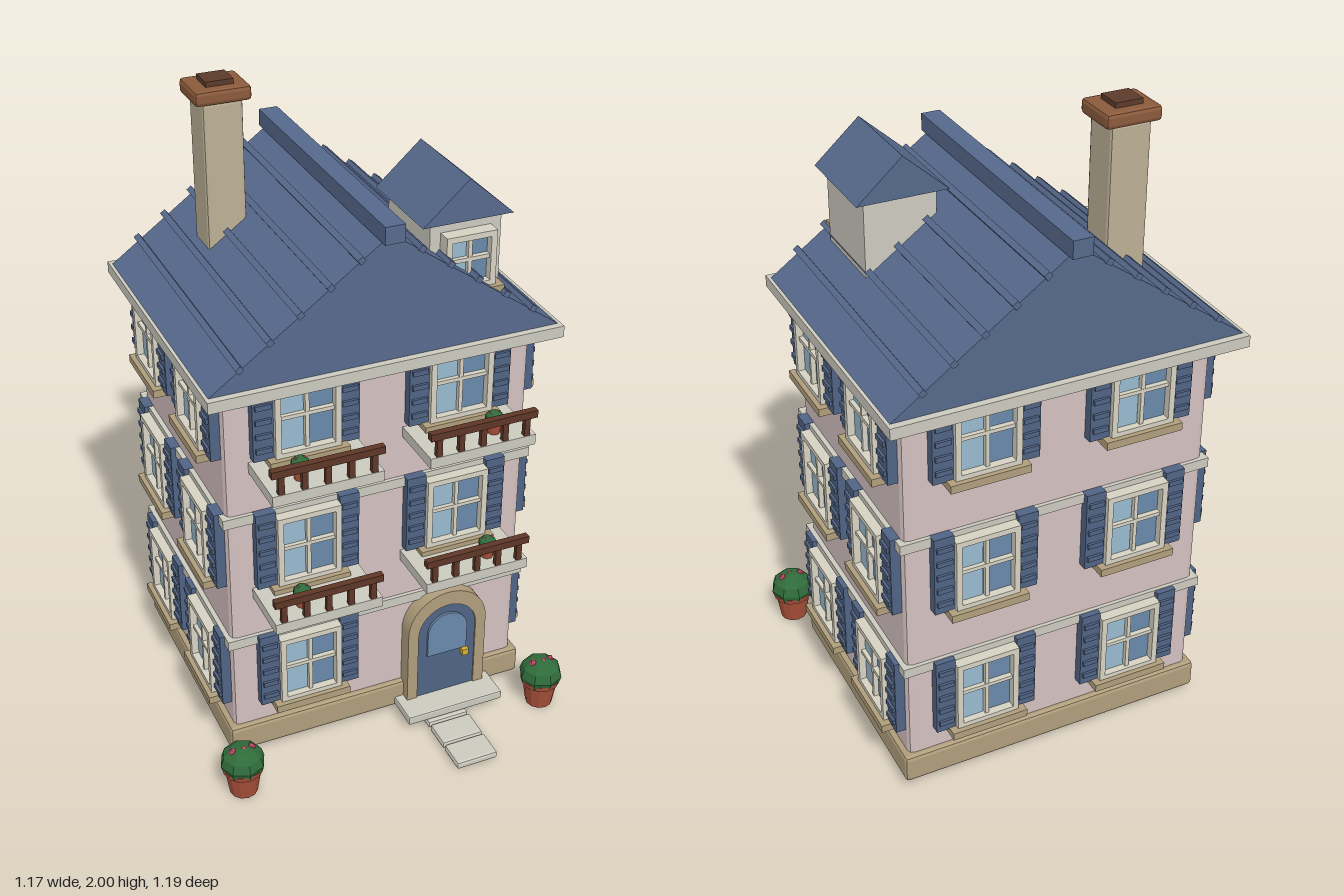
import * as THREE from 'three';
import { RoundedBoxGeometry } from 'three/addons/geometries/RoundedBoxGeometry.js';

const mats = {};
const mat = (color) => (mats[color] ??= new THREE.MeshStandardMaterial({ color, flatShading: true }));
const WALL = 0xd4c0c0, STONE = 0xb09e7c, TRIM = 0xcccabf, ROOF = 0x56698c, SHUTTER = 0x506384,
  FRAME = 0xd6d2c2, GLASS = 0x6889ab, SHINE = 0x98bad0, BRICK = 0x8b5a3c, RAIL = 0x5e3626,
  CLAY = 0xa85038, LEAF = 0x2f6b3a, FLOWER = 0xd05070, CHIMNEY = 0xbcb096;

function add(parent, name, geometry, color, x = 0, y = 0, z = 0) {
  const m = new THREE.Mesh(geometry, mat(color));
  m.name = name;
  m.position.set(x, y, z);
  parent.add(m);
  return m;
}

// Box given by its extents along each axis; bevel chamfers the edges
function box(parent, name, color, x0, x1, y0, y1, z0, z1, bevel = 0) {
  const s = [x1 - x0, y1 - y0, z1 - z0];
  const g = bevel ? new RoundedBoxGeometry(...s, 1, bevel) : new THREE.BoxGeometry(...s);
  return add(parent, name, g, color, (x0 + x1) / 2, (y0 + y1) / 2, (z0 + z1) / 2);
}

function extrude(shape, depth) {
  return new THREE.ExtrudeGeometry(shape, { depth, bevelEnabled: false, curveSegments: 16 });
}

// Gable prism running along z
function gable(parent, name, cx, half, y0, y1, z0, z1) {
  const s = new THREE.Shape([[-half, y0], [half, y0], [0, y1]].map((p) => new THREE.Vector2(...p)));
  return add(parent, name, extrude(s, z1 - z0), ROOF, cx, 0, z0);
}

// Round-topped outline standing on y = 0
function archShape(half, spring) {
  const s = new THREE.Shape();
  s.moveTo(-half, 0);
  s.lineTo(half, 0);
  s.lineTo(half, spring);
  s.absarc(0, spring, half, 0, Math.PI, false);
  s.lineTo(-half, 0);
  return s;
}

// Window facing +z, standing on its sill at y = 0
function makeWindow(half, height, shutters) {
  const w = new THREE.Group();
  w.name = 'window';
  const t = 0.018;
  box(w, 'glass', GLASS, -half + t, half - t, t, height - t, 0, 0.02);
  box(w, 'glassHighlight', SHINE, -half + t, -0.008, t, height - t, 0.02, 0.023);
  for (const s of [-1, 1]) {
    const x = s * (half - t / 2);
    box(w, 'frameSide', FRAME, x - t / 2, x + t / 2, 0, height, 0, 0.045);
  }
  box(w, 'frameBottom', FRAME, -half + t, half - t, 0, t, 0, 0.045);
  box(w, 'frameTop', FRAME, -half + t, half - t, height - t, height, 0, 0.045);
  box(w, 'mullion', FRAME, -0.006, 0.006, t, height - t, 0, 0.035);
  box(w, 'crossbar', FRAME, -half + t, half - t, height * 0.53 - 0.006, height * 0.53 + 0.006, 0, 0.036);
  box(w, 'sill', STONE, -half - 0.022, half + 0.022, -0.022, 0.003, -0.005, 0.06);
  if (shutters) {
    for (const s of [-1, 1]) {
      const x = s * (half + 0.031);
      box(w, 'shutter', SHUTTER, x - 0.031, x + 0.031, 0, 0.26, -0.005, 0.03);
      for (let i = 0; i < 5; i++) {
        const y = 0.035 + i * 0.047;
        box(w, 'shutterSlat', SHUTTER, x - 0.024, x + 0.024, y - 0.008, y + 0.008, 0.03, 0.038);
      }
    }
  }
  return w;
}

function makePlant(r) {
  const p = new THREE.Group();
  p.name = 'pottedPlant';
  add(p, 'pot', new THREE.CylinderGeometry(r * 0.82, r * 0.62, r * 1.3, 12), CLAY, 0, r * 0.65);
  add(p, 'potRim', new THREE.CylinderGeometry(r * 0.92, r * 0.88, r * 0.25, 12), CLAY, 0, r * 1.3);
  const leaves = add(p, 'foliage', new THREE.SphereGeometry(r, 8, 6), LEAF, 0, r * 1.62);
  leaves.scale.y = 0.85;
  for (const [x, z] of [[-0.42, 0], [0.42, 0], [0.05, 0.3]]) {
    if (z && r < 0.05) continue;
    add(p, 'flower', new THREE.IcosahedronGeometry(r * 0.2, 0), FLOWER, x * r, r * (z ? 2.3 : 2.28), z * r * 0.2);
  }
  return p;
}

function makeBalcony(cx, y) {
  const b = new THREE.Group();
  b.name = 'balcony';
  b.position.set(cx, y, 0);
  box(b, 'balconySlab', TRIM, -0.168, 0.168, 0, 0.034, 0.25, 0.445);
  box(b, 'handrail', RAIL, -0.17, 0.17, 0.092, 0.115, 0.425, 0.447);
  for (let i = 0; i < 5; i++) {
    const x = -0.14 + i * 0.07;
    box(b, 'baluster', RAIL, x - 0.009, x + 0.009, 0.034, 0.092, 0.427, 0.443);
  }
  const plant = makePlant(0.029);
  plant.position.set(Math.sign(cx) * 0.062, 0.034, 0.385);
  b.add(plant);
  return b;
}

export function createModel() {
  const house = new THREE.Group();
  house.name = 'townhouse';
  const CZ = -0.125;

  // Walls, plinth and floor bands
  box(house, 'walls', WALL, -0.48, 0.48, 0.05, 1.33, CZ - 0.38, CZ + 0.38, 0.018);
  box(house, 'plinth', STONE, -0.5, 0.5, 0.03, 0.122, CZ - 0.4, CZ + 0.4, 0.012);
  for (const y of [0.43, 0.872]) box(house, 'floorBand', TRIM, -0.495, 0.495, y, y + 0.032, CZ - 0.392, CZ + 0.392);

  // Windows on all four sides; the door takes one ground-floor place
  const sides = [[0, 0.38, 0.24], [Math.PI / 2, 0.48, 0.195], [Math.PI, 0.38, 0.24], [-Math.PI / 2, 0.48, 0.195]];
  sides.forEach(([angle, dist, offset], side) => {
    const face = new THREE.Group();
    face.name = ['frontWindows', 'leftWindows', 'backWindows', 'rightWindows'][side];
    face.position.z = CZ;
    face.rotation.y = angle;
    for (let floor = 0; floor < 3; floor++) {
      for (const s of [-1, 1]) {
        if (side === 0 && floor === 0 && s === 1) continue;
        const w = makeWindow(0.1, 0.24, true);
        w.position.set(s * offset, 0.2 + floor * 0.445, dist);
        face.add(w);
      }
    }
    house.add(face);
  });

  // Balconies
  for (const y of [0.598, 1.041]) for (const x of [-0.24, 0.24]) house.add(makeBalcony(x, y));

  // Door with arched surround
  const door = new THREE.Group();
  door.name = 'door';
  door.position.set(0.22, 0.065, 0);
  const surround = archShape(0.135, 0.26);
  surround.holes.push(archShape(0.1, 0.245));
  add(door, 'doorSurround', extrude(surround, 0.055), STONE, 0, 0, 0.25);
  add(door, 'doorPanel', extrude(archShape(0.1, 0.245), 0.05), SHUTTER, 0, 0, 0.25);
  add(door, 'doorGlass', extrude(archShape(0.068, 0.085), 0.01), GLASS, 0, 0.16, 0.298);
  add(door, 'doorKnob', new THREE.BoxGeometry(0.022, 0.022, 0.02), 0xd8b030, 0.062, 0.145, 0.308);
  house.add(door);

  // Doorstep and path
  box(house, 'doorstep', TRIM, 0.055, 0.385, 0.035, 0.066, 0.26, 0.385, 0.006);
  for (const z of [0.3, 0.402, 0.503]) box(house, 'pathStone', TRIM, 0.12, 0.26, 0.006, 0.032, z, z + 0.095, 0.009);

  // Roof: eaves slab, gable, ridge and battens
  box(house, 'eaves', TRIM, -0.545, 0.545, 1.31, 1.346, -0.595, 0.335);
  gable(house, 'roof', 0, 0.535, 1.346, 1.73, -0.573, 0.313);
  box(house, 'ridge', ROOF, -0.03, 0.03, 1.712, 1.765, -0.597, 0.337);
  const slope = Math.atan2(0.384, 0.535);
  for (const s of [-1, 1]) {
    for (let i = 0; i < 5; i++) {
      const x = 0.09 + i * 0.089;
      const b = add(house, 'roofBatten', new THREE.BoxGeometry(0.019, 0.018, 0.905), ROOF,
        s * x, 1.737 - x * 0.384 / 0.535, -0.13);
      b.rotation.z = -s * slope;
    }
  }

  // Dormer
  const DX = 0.258;
  box(house, 'dormerWalls', TRIM, DX - 0.11, DX + 0.11, 1.4, 1.7, -0.025, 0.245);
  gable(house, 'dormerRoof', DX, 0.14, 1.7, 1.825, -0.05, 0.262);
  const dormerWindow = makeWindow(0.078, 0.17, false);
  dormerWindow.position.set(DX, 1.5, 0.243);
  house.add(dormerWindow);

  // Chimney
  box(house, 'chimneyStack', CHIMNEY, -0.326, -0.204, 1.4, 1.945, -0.37, -0.25, 0.01);
  box(house, 'chimneyCap', BRICK, -0.35, -0.18, 1.94, 1.985, -0.385, -0.237, 0.012);
  box(house, 'chimneyFlue', 0x5c3a2a, -0.307, -0.223, 1.975, 2, -0.35, -0.272);

  // Large plants beside the entrance front
  for (const s of [-1, 1]) {
    const plant = makePlant(0.07);
    plant.position.set(s * 0.513, 0.003, 0.405);
    house.add(plant);
  }
  return house;
}
